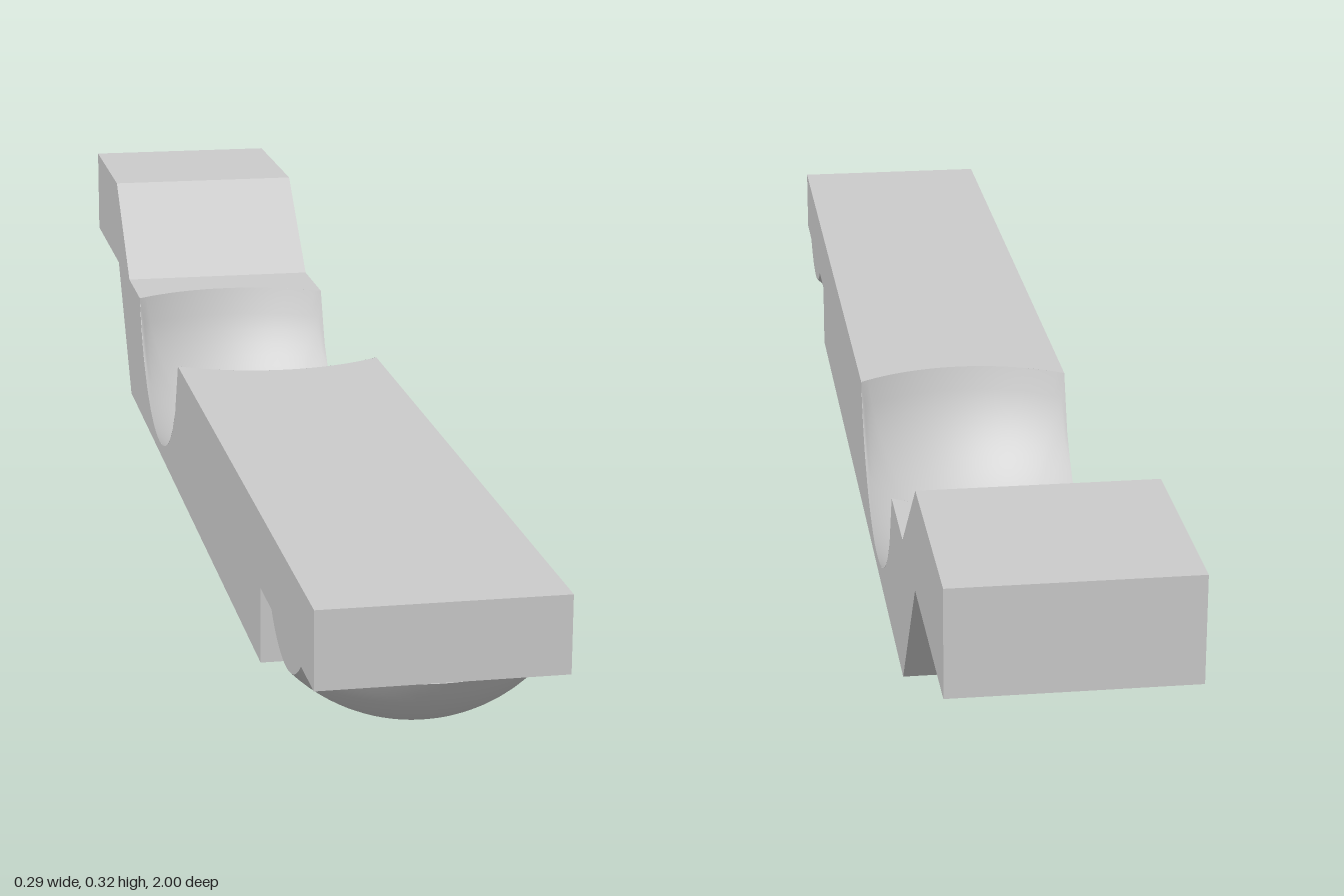
import * as THREE from 'three';
import { mergeVertices } from 'three/addons/utils/BufferGeometryUtils.js';

const W = 0.144;                                   // half width of the bar
const TOP = 0.188, STEP = 0.095, RAISED = 0.185, RAISED_TOP = 0.316;
const SOCKET = { z: -0.24, y: 0.2315, R: 0.258 };  // spherical seat cut from above
const KNOB = { z: 0.83, y: 0.203, R: 0.203 };      // ball foot under the front tongue
const DIMPLE = { z: -0.89, r: 0.053, depth: 0.035 };
const HOLE = { offset: 0.05, r: 0.1 };             // vertical bore through the seat floor

const material = new THREE.MeshStandardMaterial({ color: 0xcccccc, side: THREE.DoubleSide });

function add(group, name, geometry) {
  const mesh = new THREE.Mesh(geometry, material);
  mesh.name = name;
  group.add(mesh);
  return mesh;
}

// Surface made by moving a unit grid: rule(u, v) gives [x, y, z]
function surface(nu, nv, rule) {
  let g = new THREE.PlaneGeometry(1, 1, nu, nv);
  const p = g.attributes.position;
  for (let i = 0; i < p.count; i++) p.setXYZ(i, ...rule(p.getX(i) + 0.5, p.getY(i) + 0.5));
  g.deleteAttribute('uv');
  g.deleteAttribute('normal');
  g = mergeVertices(g, 1e-5);
  g.computeVertexNormals();
  return g;
}

// Flat strip across the width between two profile points [z, y]
const strip = (a, b) => surface(1, 1, (u, v) => [
  (u - 0.5) * 2 * W, a[1] + (b[1] - a[1]) * v, a[0] + (b[0] - a[0]) * v]);

// Shape drawn in (x, z), laid flat at height y
const flat = (shape, y) => new THREE.ShapeGeometry(shape, 32).rotateX(Math.PI / 2).translate(0, y, 0);
// Shape drawn in (z, y), stood up at x
const side = (shape, x) => new THREE.ShapeGeometry(shape, 40).rotateY(-Math.PI / 2).translate(x, 0, 0);

const polygon = (pts) => new THREE.Shape(pts.map(([a, b]) => new THREE.Vector2(a, b)));
const rectangle = (z0, z1) => polygon([[-W, z0], [W, z0], [W, z1], [-W, z1]]);

// Angle round a circle of radius r, with samples exactly where it meets the bar's sides
function angleAt(u, r) {
  const a = Math.acos(Math.min(1, W / r));
  const stops = [-a, a, Math.PI - a, Math.PI + a, 2 * Math.PI - a];
  const k = Math.min(3, Math.floor(u * 4 + 1e-6));
  return stops[k] + (stops[k + 1] - stops[k]) * (u * 4 - k);
}
const clip = (t, r) => Math.min(r, W / Math.max(1e-6, Math.abs(Math.cos(t))));
const ballY = (s, r) => s.y - Math.sqrt(s.R * s.R - r * r);
const radiusAt = (s, y) => Math.sqrt(s.R * s.R - (s.y - y) ** 2);

// Lower part of a sphere, from an inner radius to an outer one, trimmed to the bar's width
function bowl(s, outer, inner) {
  return surface(96, 14, (u, v) => {
    const t = angleAt(u, outer), a = inner(t);
    const r = a + (clip(t, outer) - a) * v;
    return [r * Math.cos(t), Math.max(0, ballY(s, r)), s.z + r * Math.sin(t)];
  });
}

export function createModel() {
  const model = new THREE.Group();
  const bar = new THREE.Group();
  bar.name = 'bar';
  model.add(bar);

  const rim = radiusAt(SOCKET, TOP);
  const sideR = Math.sqrt(SOCKET.R ** 2 - W * W);
  const half = Math.sqrt(rim * rim - W * W);
  const floorR = radiusAt(SOCKET, 0);
  const holeRadius = (t) => Math.max(floorR, HOLE.offset * Math.sin(t)
    + Math.sqrt(HOLE.r ** 2 - (HOLE.offset * Math.cos(t)) ** 2));

  // Side walls with the round notch left by the seat
  const wall = new THREE.Shape();
  wall.moveTo(1, STEP);
  wall.lineTo(1, TOP);
  wall.lineTo(SOCKET.z + half, TOP);
  const phi = Math.atan2(TOP - SOCKET.y, half);
  wall.absarc(SOCKET.z, SOCKET.y, sideR, phi, -Math.PI - phi, true);
  [[-0.58, TOP], [-0.73, RAISED_TOP], [-1, RAISED_TOP], [-1, RAISED], [-0.72, RAISED],
    [-0.575, 0], [0.66, 0], [0.66, STEP]].forEach(([z, y]) => wall.lineTo(z, y));
  for (const s of [-1, 1]) add(bar, s > 0 ? 'leftWall' : 'rightWall', side(wall, s * W));

  // Plain faces across the width
  add(bar, 'frontEnd', strip([1, STEP], [1, TOP]));
  add(bar, 'tongueUnderside', strip([0.66, STEP], [1, STEP]));
  add(bar, 'tongueStep', strip([0.66, 0], [0.66, STEP]));
  add(bar, 'rampTop', strip([-0.58, TOP], [-0.73, RAISED_TOP]));
  add(bar, 'raisedTop', strip([-0.73, RAISED_TOP], [-1, RAISED_TOP]));
  add(bar, 'backEnd', strip([-1, RAISED_TOP], [-1, RAISED]));
  add(bar, 'rampUnderside', strip([-0.72, RAISED], [-0.575, 0]));

  // Top faces either side of the seat, each with a curved edge
  const a = Math.atan2(half, W);
  for (const [name, end, dir] of [['frontTop', 1, 1], ['rearTop', -0.58, -1]]) {
    const s = new THREE.Shape();
    s.moveTo(-W, end);
    s.lineTo(W, end);
    s.lineTo(W, SOCKET.z + dir * half);
    s.absarc(0, SOCKET.z, rim, dir * a, dir * (Math.PI - a), dir < 0);
    add(bar, name, flat(s, TOP));
  }

  // Underside with the bore opening
  const under = rectangle(-0.575, 0.66);
  const opening = [];
  for (let i = 0; i < 96; i++) {
    const t = angleAt(i / 96, rim), r = holeRadius(t);
    opening.push(new THREE.Vector2(r * Math.cos(t), SOCKET.z + r * Math.sin(t)));
  }
  under.holes.push(new THREE.Path(opening));
  add(bar, 'underside', flat(under, 0));

  // Spherical seat and the short wall of the bore below it
  add(bar, 'seat', bowl(SOCKET, rim, holeRadius));
  add(bar, 'boreWall', surface(96, 1, (u, v) => {
    const t = angleAt(u, rim), r = holeRadius(t);
    return [r * Math.cos(t), v * Math.max(0, ballY(SOCKET, r)), SOCKET.z + r * Math.sin(t)];
  }));

  // Raised end underside with a shallow round dimple
  const raised = rectangle(-1, -0.72);
  raised.holes.push(new THREE.Path().absarc(0, DIMPLE.z, DIMPLE.r, 0, Math.PI * 2, true));
  add(bar, 'raisedUnderside', flat(raised, RAISED));
  const dimpleR = (DIMPLE.r ** 2 + DIMPLE.depth ** 2) / (2 * DIMPLE.depth);
  add(bar, 'dimple', new THREE.SphereGeometry(dimpleR, 48, 10, 0, Math.PI * 2, 0,
    Math.acos((dimpleR - DIMPLE.depth) / dimpleR))
    .translate(0, RAISED + DIMPLE.depth - dimpleR, DIMPLE.z));

  // Ball foot, trimmed flush with the bar's sides
  const foot = new THREE.Group();
  foot.name = 'ballFoot';
  model.add(foot);
  add(foot, 'ball', bowl(KNOB, radiusAt(KNOB, STEP), () => 0));
  const trimR = Math.sqrt(KNOB.R ** 2 - W * W);
  const b = Math.asin((STEP - KNOB.y) / trimR);
  const trim = new THREE.Shape().absarc(KNOB.z, KNOB.y, trimR, b, -Math.PI - b, true);
  for (const s of [-1, 1]) add(foot, s > 0 ? 'leftTrim' : 'rightTrim', side(trim, s * W));

  return model;
}
